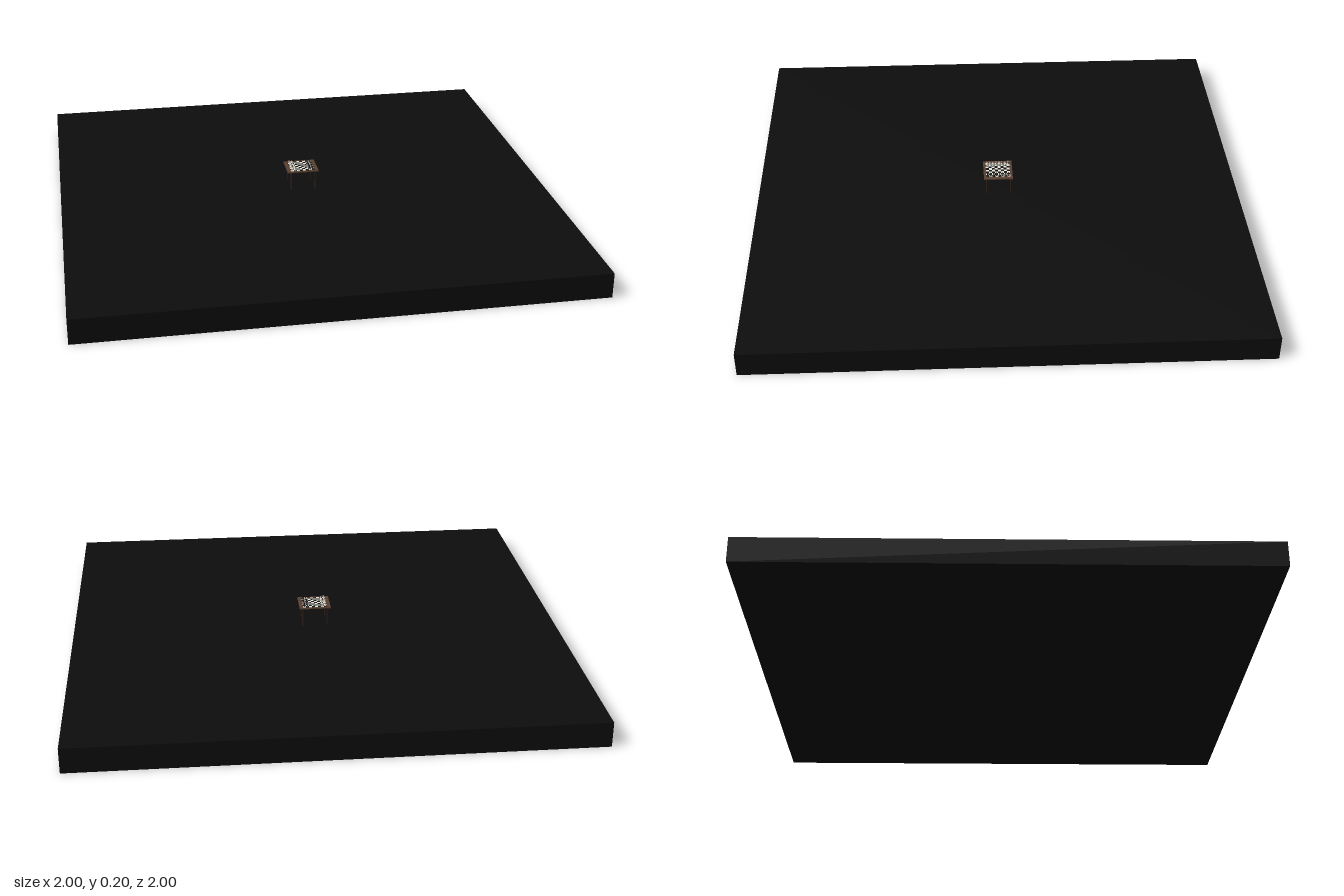
import * as THREE from 'three';

const SQUARE = 0.0125;
const TOP_Y = 0.182;
const BOARD_Y = TOP_Y + 0.0012;

const paint = (color) => new THREE.MeshStandardMaterial({ color });

function box(parent, name, material, size, position) {
  const mesh = new THREE.Mesh(new THREE.BoxGeometry(...size), material);
  mesh.name = name;
  mesh.position.set(...position);
  parent.add(mesh);
  return mesh;
}

// Turned body: a wide foot, a narrow stem, a collar and a rounded head
function turned(height, head) {
  const r = 0.0037;
  const points = [
    [0, 0], [r, 0], [r, 0.08], [r * 0.75, 0.18], [r * 0.42, 0.35], [r * 0.38, 0.6],
    [r * 0.7, 0.64], [r * 0.4, 0.69], [head, 0.82], [head * 0.75, 0.94], [0, 1],
  ].map(([x, y]) => new THREE.Vector2(x, y * height));
  return new THREE.LatheGeometry(points, 12);
}

function makePiece(kind, material) {
  const piece = new THREE.Group();
  piece.name = kind;
  const heights = { pawn: 0.007, rook: 0.008, knight: 0.006, bishop: 0.0095, queen: 0.0105, king: 0.0105 };
  const heads = { pawn: 0.002, rook: 0.0026, knight: 0.0018, bishop: 0.002, queen: 0.0026, king: 0.0024 };
  const h = heights[kind];
  const body = new THREE.Mesh(turned(h, heads[kind]), material);
  body.name = kind + 'Body';
  piece.add(body);

  if (kind === 'rook') {
    const tower = new THREE.Mesh(new THREE.CylinderGeometry(0.0027, 0.0024, 0.0022, 12), material);
    tower.name = 'rookTower';
    tower.position.y = h - 0.001;
    piece.add(tower);
  }
  if (kind === 'knight') {
    // Horse head silhouette, looking along +x
    const outline = [[-0.0018, 0], [0.0016, 0], [0.0008, 0.0024], [0.0026, 0.0022],
      [0.0028, 0.0034], [0.0006, 0.0055], [-0.001, 0.0052], [-0.0022, 0.003]];
    const shape = new THREE.Shape(outline.map(([x, y]) => new THREE.Vector2(x, y)));
    const geometry = new THREE.ExtrudeGeometry(shape, { depth: 0.002, bevelEnabled: false });
    geometry.translate(0, h * 0.6, -0.001);
    const head = new THREE.Mesh(geometry, material);
    head.name = 'knightHead';
    piece.add(head);
  }
  if (kind === 'bishop' || kind === 'queen') {
    const ball = new THREE.Mesh(new THREE.SphereGeometry(0.0008, 8, 6), material);
    ball.name = kind + 'Finial';
    ball.position.y = h + 0.0004;
    piece.add(ball);
  }
  if (kind === 'king') {
    box(piece, 'crossUpright', material, [0.0007, 0.0022, 0.0007], [0, h + 0.0008, 0]);
    box(piece, 'crossArm', material, [0.0007, 0.0007, 0.002], [0, h + 0.001, 0]);
  }
  return piece;
}

export function createModel() {
  const model = new THREE.Group();
  model.name = 'gameTableOnFloor';
  const floorPaint = paint(0x0d0d0d);
  const wood = paint(0x5a4030);
  const legWood = paint(0x33241a);
  const light = paint(0xe8e4da);
  const dark = paint(0x111111);

  // Floor slab
  box(model, 'floor', floorPaint, [2, 0.1, 2], [0, 0.05, 0]);

  // Table with four thin legs
  const table = new THREE.Group();
  table.name = 'table';
  model.add(table);
  box(table, 'tableTop', wood, [0.13, 0.004, 0.12], [0, TOP_Y - 0.002, 0]);
  for (const x of [-0.05, 0.05]) {
    for (const z of [-0.05, 0.05]) {
      box(table, 'tableLeg', legWood, [0.004, 0.079, 0.004], [x, 0.1395, z]);
    }
  }

  // Checkered board
  const board = new THREE.Group();
  board.name = 'board';
  model.add(board);
  const at = (i) => (i - 3.5) * SQUARE;
  for (let i = 0; i < 8; i++) {
    for (let j = 0; j < 8; j++) {
      box(board, 'square', (i + j) % 2 ? light : dark, [SQUARE, 0.0012, SQUARE], [at(i), TOP_Y + 0.0006, at(j)]);
    }
  }

  // Two facing armies, light on the -x side and dark on the +x side
  const backRank = ['rook', 'knight', 'bishop', 'queen', 'king', 'bishop', 'knight', 'rook'];
  for (const side of [-1, 1]) {
    const army = new THREE.Group();
    army.name = side < 0 ? 'lightPieces' : 'darkPieces';
    model.add(army);
    const material = side < 0 ? paint(0xd8d2c4) : paint(0x1a1714);
    backRank.forEach((kind, j) => {
      [[kind, 3.5], ['pawn', 2.5]].forEach(([name, row]) => {
        const piece = makePiece(name, material);
        piece.position.set(side * row * SQUARE, BOARD_Y, at(j));
        piece.rotation.y = side < 0 ? 0 : Math.PI;
        army.add(piece);
      });
    });
  }
  return model;
}
